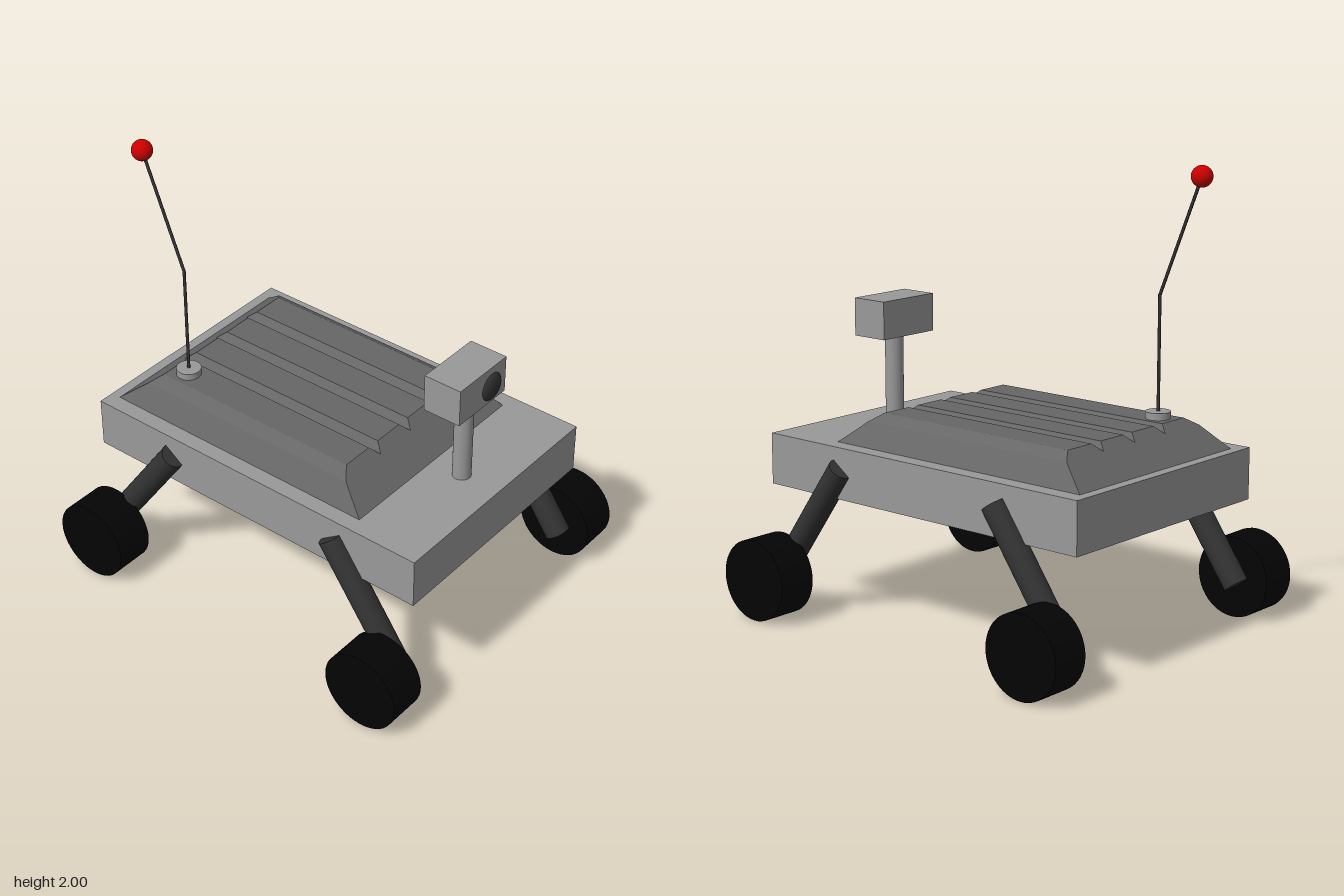
import * as THREE from 'three';

const mat = (color) => new THREE.MeshStandardMaterial({ color });

export function createModel() {
  const model = new THREE.Group();
  model.name = 'rover';

  const grey = mat(0x999999);
  const deckGrey = mat(0x666666);
  const darkGrey = mat(0x323232);
  const black = mat(0x040404);
  const red = mat(0xcc0000);

  function add(name, geometry, material, x = 0, y = 0, z = 0) {
    const mesh = new THREE.Mesh(geometry, material);
    mesh.name = name;
    mesh.position.set(x, y, z);
    model.add(mesh);
    return mesh;
  }

  // Straight round bar between two points
  function rod(name, from, to, radius, material, sides = 32) {
    const a = new THREE.Vector3(...from);
    const dir = new THREE.Vector3(...to).sub(a);
    const mesh = add(name, new THREE.CylinderGeometry(radius, radius, dir.length(), sides), material);
    mesh.position.copy(a).addScaledVector(dir, 0.5);
    mesh.quaternion.setFromUnitVectors(new THREE.Vector3(0, 1, 0), dir.normalize());
    return mesh;
  }

  // Chassis
  add('chassis', new THREE.BoxGeometry(1.726, 0.228, 1.155), grey, 0, 0.669, 0);

  // Raised deck: cross-section with three V grooves, extruded along x
  const bottom = 0.782, top = 0.914;
  const profile = [[-0.505, bottom], [0.505, bottom], [0.44, 0.88], [0.385, top]];
  for (const s of [0.205, 0, -0.205]) {
    profile.push([s + 0.03, top], [s, 0.882], [s - 0.03, top]);
  }
  profile.push([-0.385, top], [-0.44, 0.88]);
  const deck = new THREE.ExtrudeGeometry(
    new THREE.Shape(profile.map(([s, y]) => new THREE.Vector2(s, y))),
    { depth: 1, bevelEnabled: false }
  );
  deck.rotateY(Math.PI / 2);
  // Slope both ends inwards with height
  const pos = deck.attributes.position;
  for (let i = 0; i < pos.count; i++) {
    const k = (pos.getY(i) - bottom) / (top - bottom);
    pos.setX(i, THREE.MathUtils.lerp(-0.818 + 0.163 * k, 0.527 - 0.165 * k, pos.getX(i)));
  }
  deck.computeVertexNormals();
  add('deck', deck, deckGrey);

  // Four splayed legs with wheels
  for (const sx of [-1, 1]) {
    for (const sz of [-1, 1]) {
      const label = (sz > 0 ? 'front' : 'back') + (sx > 0 ? 'Left' : 'Right');
      rod(label + 'Leg', [sx * 0.434, 0.692, sz * 0.577], [sx * 0.81, 0.162, sz * 0.577], 0.056, darkGrey);
      const wheel = add(label + 'Wheel', new THREE.CylinderGeometry(0.18, 0.18, 0.18, 48), black,
        sx * 0.762, 0.18, sz * 0.706);
      wheel.rotation.x = Math.PI / 2;
    }
  }

  // Camera mast, head and domed lens
  rod('cameraMast', [0.673, 0.78, 0], [0.673, 1.18, 0], 0.041, grey);
  add('cameraHead', new THREE.BoxGeometry(0.178, 0.17, 0.315), grey, 0.671, 1.254, 0);
  const lens = add('cameraLens', new THREE.SphereGeometry(0.064, 32, 24), darkGrey, 0.756, 1.243, -0.061);
  lens.scale.x = 0.4;

  // Bent antenna with base and red tip
  const az = 0.31;
  add('antennaBase', new THREE.CylinderGeometry(0.055, 0.055, 0.035, 32), grey, -0.576, 0.927, az);
  rod('antennaLower', [-0.576, 0.93, az], [-0.576, 1.445, az], 0.007, darkGrey, 12);
  rod('antennaUpper', [-0.576, 1.441, az], [-0.782, 1.954, az], 0.007, darkGrey, 12);
  add('antennaTip', new THREE.SphereGeometry(0.046, 32, 24), red, -0.782, 1.954, az);

  return model;
}
